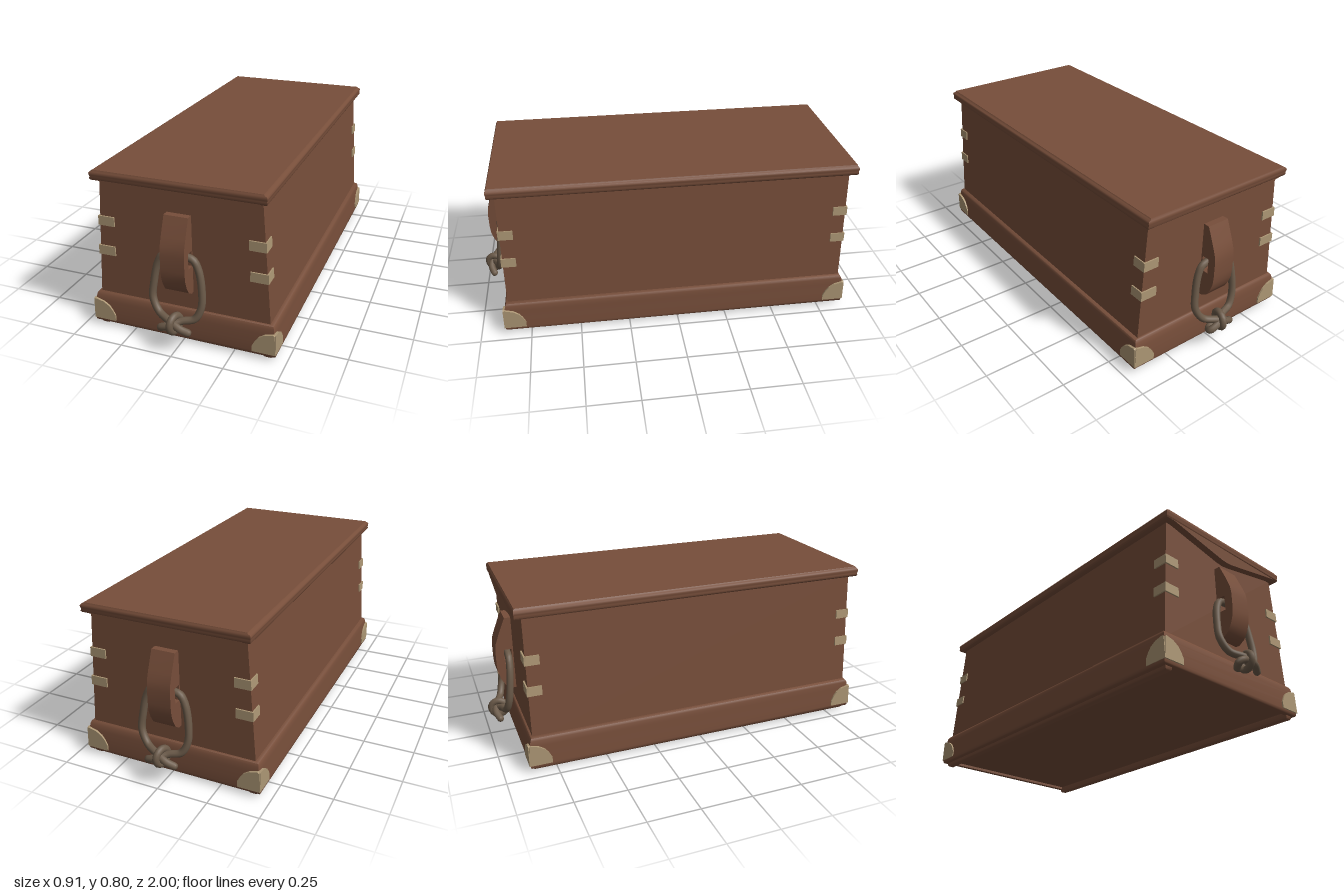
import * as THREE from 'three';
import { toCreasedNormals } from 'three/addons/utils/BufferGeometryUtils.js';

const wood = new THREE.MeshStandardMaterial({ color: 0x774e3a });
const metal = new THREE.MeshStandardMaterial({ color: 0xad9775 });
const cord = new THREE.MeshStandardMaterial({ color: 0x6b5a49 });
wood.name = 'reddish wood';
metal.name = 'dull brass';
cord.name = 'brown rope';

function add(parent, name, geometry, material) {
  const mesh = new THREE.Mesh(geometry, material);
  mesh.name = name;
  parent.add(mesh);
  return mesh;
}

// Rectangular rings [halfX, halfZ, y], bottom to top, joined and capped; mouldings stay soft, corners sharp
function loft(rings) {
  const pos = [];
  const corners = rings.map(([x, z, y]) => [[x, y, z], [x, y, -z], [-x, y, -z], [-x, y, z]]);
  const quad = (a, b, c, d) => pos.push(...a, ...b, ...c, ...a, ...c, ...d);
  for (let i = 0; i < corners.length - 1; i++) {
    for (let j = 0; j < 4; j++) {
      const k = (j + 1) % 4;
      quad(corners[i][j], corners[i][k], corners[i + 1][k], corners[i + 1][j]);
    }
  }
  const bottom = corners[0], top = corners[corners.length - 1];
  quad(bottom[3], bottom[2], bottom[1], bottom[0]);
  quad(top[0], top[1], top[2], top[3]);
  const g = new THREE.BufferGeometry();
  g.setAttribute('position', new THREE.Float32BufferAttribute(pos, 3));
  return toCreasedNormals(g, 0.9);
}

const toShape = (pts) => new THREE.Shape(pts.map(([x, y]) => new THREE.Vector2(x, y)));
const extrude = (shape, depth) => new THREE.ExtrudeGeometry(shape, { depth, bevelEnabled: false });

// Half width of the tapered body at a given height
const bodyX = (y) => 0.42 - 0.068 * (y - 0.17);

// Rounded corner plate outline: distance inward from the corner, height
const bracket = [[0, 0.035], [0.11, 0.035], [0.11, 0.065], [0.097, 0.09], [0.08, 0.112],
  [0.052, 0.13], [0.012, 0.14], [0.005, 0.135]];

function createEnd() {
  const end = new THREE.Group();

  // Pointed skirt hanging from the lid
  const skirt = extrude(toShape([[-0.39, 0.757], [-0.04, 0.689], [0, 0.685], [0.04, 0.689], [0.39, 0.757]]), 0.035);
  add(end, 'lidSkirt', skirt.translate(0, 0, 0.853), wood);

  // Carved handle block with a narrow slot for the rope
  const profile = toShape([[0.85, 0.265], [0.875, 0.265], [0.905, 0.285], [0.925, 0.32], [0.938, 0.36],
    [0.941, 0.4], [0.941, 0.47], [0.936, 0.51], [0.92, 0.555], [0.885, 0.64], [0.85, 0.64]]);
  profile.holes.push(new THREE.Path([[0.863, 0.4], [0.863, 0.475], [0.9, 0.475], [0.9, 0.4]]
    .map(([z, y]) => new THREE.Vector2(z, y))));
  const block = extrude(profile, 0.115).rotateY(-Math.PI / 2).translate(0.056, 0, 0);
  add(end, 'handleBlock', toCreasedNormals(block, 0.65), wood);

  // Rope loop, both ends crossing in the knot
  const path = [[0.064, 0.108, 0.95], [0.03, 0.13, 0.964], [-0.02, 0.152, 0.952], [-0.085, 0.17, 0.922],
    [-0.122, 0.23, 0.905], [-0.118, 0.31, 0.893], [-0.1, 0.4, 0.884], [-0.075, 0.442, 0.882],
    [0, 0.452, 0.882], [0.07, 0.442, 0.882], [0.095, 0.4, 0.884], [0.113, 0.31, 0.893],
    [0.113, 0.22, 0.905], [0.085, 0.165, 0.918], [0.03, 0.152, 0.932], [-0.025, 0.135, 0.962],
    [-0.066, 0.115, 0.958], [-0.05, 0.1, 0.93], [-0.01, 0.115, 0.92]]
    .map((p) => new THREE.Vector3(...p));
  const r = 0.0175;
  add(end, 'ropeLoop', new THREE.TubeGeometry(new THREE.CatmullRomCurve3(path), 110, r, 10), cord);
  for (const p of [path[0], path[path.length - 1]]) {
    add(end, 'ropeEnd', new THREE.SphereGeometry(r, 10, 8), cord).position.copy(p);
  }
  const wrap = add(end, 'ropeKnot', new THREE.TorusGeometry(0.037, r, 10, 24), cord);
  wrap.rotation.set(0, Math.PI / 2 - 0.25, 0);
  wrap.position.set(0, 0.14, 0.945);

  for (const s of [1, -1]) {
    // Corner plates on the base, end face and long side
    const face = extrude(toShape(bracket.map(([d, y]) => [s * (0.452 - d), y])), 0.012);
    add(end, 'cornerPlateEnd', face.translate(0, 0, 0.871), metal);
    const side = extrude(toShape(bracket.map(([d, y]) => [0.883 - d, y])), 0.016).rotateY(-Math.PI / 2);
    add(end, 'cornerPlateSide', side.translate(s > 0 ? 0.453 : -0.437, 0, 0), metal);

    // Corner straps wrapping the tapered body
    for (const [y, inner] of [[0.547, 0.321], [0.398, 0.327]]) {
      const outer = bodyX(y) + 0.006;
      const front = add(end, 'strapEnd', new THREE.BoxGeometry(outer - inner, 0.046, 0.009), metal);
      front.position.set(s * (outer + inner) / 2, y, 0.8575);
      const flank = add(end, 'strapSide', new THREE.BoxGeometry(0.009, 0.046, 0.072), metal);
      flank.position.set(s * (bodyX(y) + 0.0015), y, 0.826);
      flank.rotation.z = s * 0.068;
    }
  }
  return end;
}

export function createModel() {
  const model = new THREE.Group();
  model.name = 'chest';

  add(model, 'body', loft([[bodyX(0.15), 0.855, 0.15], [bodyX(0.757), 0.855, 0.757]]), wood);

  // Moulded plinth with a shallow recess underneath
  add(model, 'base', loft([[0.425, 0.85, 0.031], [0.425, 0.85, 0.018], [0.445, 0.872, 0.018], [0.45, 0.876, 0.023],
    [0.45, 0.877, 0.036], [0.446, 0.876, 0.08], [0.442, 0.873, 0.13], [0.44, 0.869, 0.158],
    [0.435, 0.863, 0.17], [0.425, 0.858, 0.175]]), wood);

  // Lid with a rounded, faintly stepped edge and a thin raised top
  add(model, 'lid', loft([[0.385, 0.865, 0.75], [0.406, 0.886, 0.752], [0.41, 0.89, 0.758], [0.408, 0.889, 0.768],
    [0.409, 0.891, 0.776], [0.411, 0.892, 0.784], [0.407, 0.89, 0.791], [0.396, 0.887, 0.795],
    [0.393, 0.885, 0.8]]), wood);

  // Runners under the long sides
  for (const s of [1, -1]) {
    const runner = add(model, 'runner', loft([[0.013, 0.855, 0], [0.018, 0.86, 0.006], [0.018, 0.86, 0.033]]), wood);
    runner.position.x = s * 0.41;
  }

  // Matching fittings at both ends
  for (const [name, angle] of [['frontEnd', 0], ['backEnd', Math.PI]]) {
    const end = createEnd();
    end.name = name;
    end.rotation.y = angle;
    model.add(end);
  }
  return model;
}
